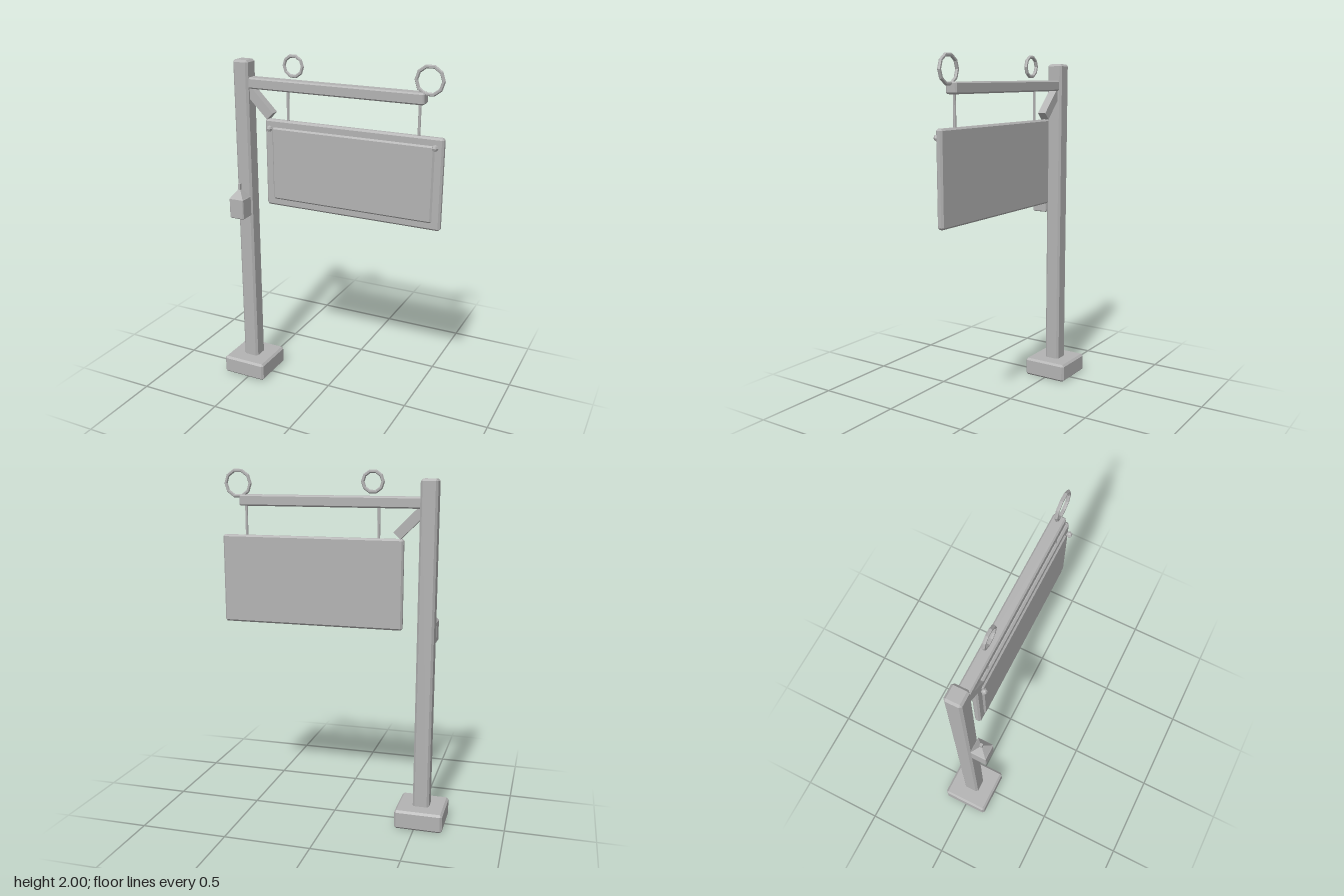
import * as THREE from 'three';
import { ConvexGeometry } from 'three/addons/geometries/ConvexGeometry.js';

const Z = -0.003; // depth of the post's centre line

export function createModel() {
  const model = new THREE.Group();
  model.name = 'hangingSign';
  const grey = new THREE.MeshStandardMaterial({ color: 0xb3b3b3, flatShading: true });
  grey.name = 'plain grey';

  function add(name, geometry, x, y, z) {
    const mesh = new THREE.Mesh(geometry, grey);
    mesh.name = name;
    mesh.position.set(x, y, z);
    model.add(mesh);
    return mesh;
  }

  // Box with every edge chamfered by c
  function chamferBox(w, h, d, c) {
    const half = [w / 2, h / 2, d / 2];
    const points = [];
    for (const sx of [-1, 1]) for (const sy of [-1, 1]) for (const sz of [-1, 1]) {
      for (let full = 0; full < 3; full++) {
        const [x, y, z] = half.map((v, i) => (i === full ? v : v - c));
        points.push(new THREE.Vector3(sx * x, sy * y, sz * z));
      }
    }
    return new ConvexGeometry(points);
  }

  // Post, foot and arm
  add('base', chamferBox(0.275, 0.11, 0.275, 0.012), -0.525, 0.055, Z);
  add('post', chamferBox(0.094, 1.87, 0.094, 0.012), -0.525, 1.02, Z);
  add('arm', chamferBox(1.06, 0.062, 0.068, 0.008), 0.02, 1.829, Z);

  // Diagonal brace under the arm
  const brace = add('brace', new THREE.BoxGeometry(0.22, 0.054, 0.05), -0.431, 1.73, Z);
  brace.rotation.z = -Math.PI / 4;

  // Board with a raised panel on the front
  add('board', chamferBox(1.05, 0.504, 0.038, 0.01), 0.135, 1.382, -0.006);
  add('panel', chamferBox(0.958, 0.42, 0.024, 0.009), 0.135, 1.381, 0.01);

  // Hanging rods
  for (const x of [-0.249, 0.519]) {
    add('hangingRod', new THREE.CylinderGeometry(0.008, 0.008, 0.19, 8), x, 1.715, Z);
  }

  // Studs in the upper corners
  for (const x of [-0.351, 0.621]) {
    add('stud', new THREE.SphereGeometry(0.018, 6, 4), x, 1.586, 0.032);
  }

  // Rings above the arm
  add('smallRing', new THREE.TorusGeometry(0.056, 0.01, 6, 10), -0.213, 1.937, Z);
  add('largeRing', new THREE.TorusGeometry(0.073, 0.01, 6, 10), 0.566, 1.921, Z);

  // Lantern on the front of the post
  const lanternZ = 0.093;
  add('lanternBody', chamferBox(0.092, 0.122, 0.092, 0.005), -0.525, 1.116, lanternZ);
  const roof = new THREE.CylinderGeometry(0.008 * Math.SQRT2, 0.045 * Math.SQRT2, 0.05, 4);
  roof.rotateY(Math.PI / 4);
  add('lanternRoof', roof, -0.525, 1.197, lanternZ);
  add('lanternFinial', new THREE.BoxGeometry(0.015, 0.045, 0.015), -0.525, 1.235, lanternZ);

  return model;
}
